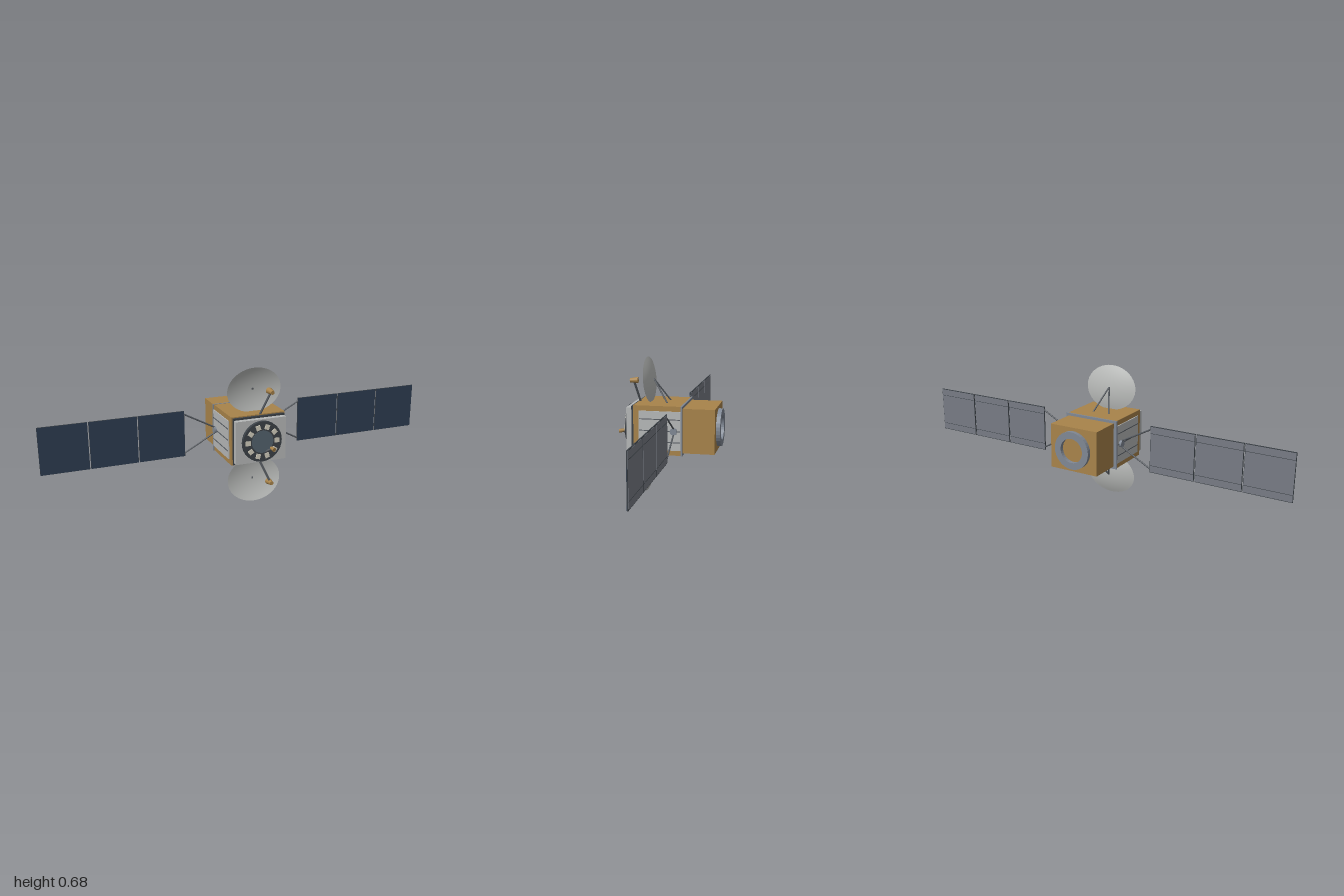
import * as THREE from 'three';

const mat = (name, color, side = THREE.FrontSide) => {
  const m = new THREE.MeshStandardMaterial({ color, side });
  m.name = name;
  return m;
};

export function createModel() {
  const gold = mat('gold foil', 0xa8834a);
  const light = mat('light grey', 0xb6b8b8);
  const dishGrey = mat('dish grey', 0xb9bbb9, THREE.DoubleSide);
  const steel = mat('steel', 0x808894);
  const strutGrey = mat('strut grey', 0x565b61);
  const dark = mat('dark grey', 0x3b4147);
  const slate = mat('slate', 0x53616c);
  const navy = mat('solar blue', 0x2c3b50);
  const panelBack = mat('panel back grey', 0x777b84);
  const cream = mat('cream', 0xd2cdbd);

  const model = new THREE.Group();
  model.name = 'satellite';
  // everything is laid out around the bus axis, 0.345 above the ground
  const craft = new THREE.Group();
  craft.name = 'craft';
  craft.position.y = 0.345;
  model.add(craft);

  const add = (parent, name, geo, material, x = 0, y = 0, z = 0) => {
    const m = new THREE.Mesh(geo, material);
    m.name = name;
    m.position.set(x, y, z);
    parent.add(m);
    return m;
  };
  const box = (parent, name, material, w, h, d, x, y, z) =>
    add(parent, name, new THREE.BoxGeometry(w, h, d), material, x, y, z);
  // cylinder or cone running from point a to point b
  const rod = (parent, name, material, a, b, ra, rb = ra, sides = 8) => {
    const p = new THREE.Vector3(...a), q = new THREE.Vector3(...b);
    const dir = q.clone().sub(p);
    const m = add(parent, name, new THREE.CylinderGeometry(rb, ra, dir.length(), sides), material);
    m.position.copy(p).add(q).multiplyScalar(0.5);
    m.quaternion.setFromUnitVectors(new THREE.Vector3(0, 1, 0), dir.normalize());
    return m;
  };

  // bus
  box(craft, 'body', gold, 0.276, 0.24, 0.236, 0, 0, 0.042);
  box(craft, 'bodyBand', steel, 0.288, 0.243, 0.008, 0, 0, -0.077);
  box(craft, 'rearBody', gold, 0.256, 0.218, 0.16, 0, 0, -0.156);
  box(craft, 'frontFrame', dark, 0.262, 0.23, 0.012, 0, 0, 0.165);
  box(craft, 'frontPlate', light, 0.256, 0.212, 0.027, 0, 0, 0.1835);

  // engine ring at the rear
  const ringShape = new THREE.Shape().absarc(0, 0, 0.093, 0, Math.PI * 2, false);
  ringShape.holes.push(new THREE.Path().absarc(0, 0, 0.06, 0, Math.PI * 2, true));
  add(craft, 'rearRing', new THREE.ExtrudeGeometry(ringShape,
    { depth: 0.021, bevelEnabled: false, curveSegments: 16 }), steel, 0, 0, -0.256);

  // front antenna array
  rod(craft, 'arrayDisc', dark, [0, 0, 0.196], [0, 0, 0.213], 0.1, 0.1, 32);
  rod(craft, 'arrayCentre', slate, [0, 0, 0.213], [0, 0, 0.215], 0.055, 0.055, 32);
  for (let i = 0; i < 10; i++) {
    const a = i * Math.PI / 5;
    const tile = box(craft, 'arrayTile', cream, 0.024, 0.022, 0.006,
      0.074 * Math.cos(a), 0.074 * Math.sin(a), 0.215);
    tile.rotation.z = a;
  }
  rod(craft, 'frontFeedStrut', strutGrey, [0.015, -0.055, 0.208], [0.038, -0.032, 0.237], 0.005);
  rod(craft, 'frontFeed', gold, [0.035, -0.028, 0.232], [0.041, -0.032, 0.258], 0.007, 0.0105, 12);

  // side radiators and solar wings
  for (const s of [1, -1]) {
    const side = new THREE.Group();
    side.name = s > 0 ? 'leftWing' : 'rightWing';
    craft.add(side);
    box(side, 'radiator', light, 0.006, 0.19, 0.206, s * 0.14, 0, 0.03);
    for (const y of [-0.055, 0, 0.056])
      box(side, 'radiatorRib', strutGrey, 0.003, 0.004, 0.2, s * 0.144, y, 0.029);
    rod(side, 'wingHub', steel, [s * 0.138, 0, -0.04], [s * 0.155, 0, -0.04], 0.018);
    for (const t of [1, -1])
      rod(side, 'wingArm', strutGrey, [s * 0.146, t * 0.013, -0.04], [s * 0.308, t * 0.1, -0.04], 0.004);
    for (let i = 0; i < 3; i++) {
      const x = s * (0.4185 + i * 0.2333), w = 0.228;
      box(side, 'panelCore', dark, w, 0.231, 0.005, x, 0, -0.04);
      box(side, 'solarCells', navy, w - 0.002, 0.229, 0.001, x, 0, -0.037);
      box(side, 'panelBack', panelBack, w - 0.004, 0.225, 0.001, x, 0, -0.043);
      for (const y of [-0.08, 0.08])
        box(side, 'panelBackSeam', dark, w - 0.004, 0.002, 0.001, x, y, -0.0437);
    }
  }

  // dish antennas above and below
  const profile = [];
  for (let i = 0; i <= 8; i++) profile.push(new THREE.Vector2(i / 8, (i / 8) ** 2));
  const dishGeo = new THREE.LatheGeometry(profile, 40);
  dishGeo.scale(0.138, 0.021, 0.112);
  for (const s of [1, -1]) {
    const unit = new THREE.Group();
    unit.name = s > 0 ? 'upperAntenna' : 'lowerAntenna';
    unit.scale.y = s;
    craft.add(unit);
    const dish = add(unit, 'dish', dishGeo, dishGrey, 0, 0.229, 0.088);
    dish.rotation.x = Math.PI / 2 + 0.103;
    for (const x of [-0.045, 0.045])
      rod(unit, 'dishStrut', strutGrey, [x, 0.116, 0.01], [0, 0.232, 0.089], 0.004);
    rod(unit, 'feedStrut', strutGrey, [0.01, 0.115, 0.153], [0.056, 0.222, 0.174], 0.0055);
    rod(unit, 'feedHorn', gold, [0.059, 0.228, 0.194], [0.056, 0.23, 0.154], 0.01, 0.0155, 16);
  }
  return model;
}
